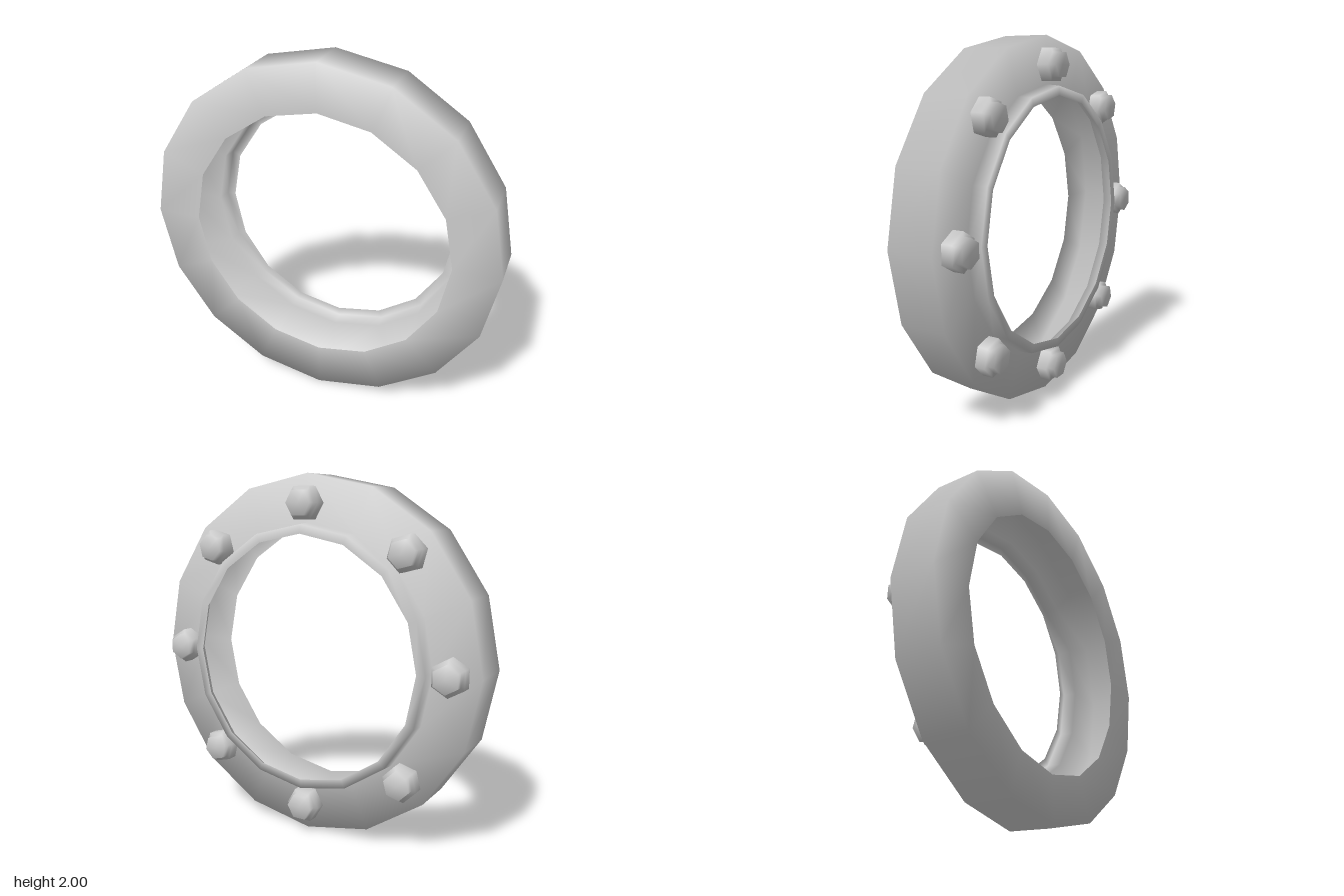
import * as THREE from 'three';

const points = (list) => list.map(([r, y]) => new THREE.Vector2(r, y));

export function createModel() {
  const model = new THREE.Group();
  model.name = 'boltedRing';
  const grey = new THREE.MeshStandardMaterial({ color: 0xcccccc, side: THREE.DoubleSide });
  grey.name = 'lightGrey';

  // Open shell: rear collar lip, collar wall, rear plate, outer wall, front face
  const shellGeometry = new THREE.LatheGeometry(points([
    [0.685, -0.16], [0.735, -0.16], [0.742, -0.08], [1, -0.08], [1, 0.18], [0.742, 0.18],
  ]), 16);
  shellGeometry.rotateX(Math.PI / 2);
  const shell = new THREE.Mesh(shellGeometry, grey);
  shell.name = 'ringShell';
  shell.position.y = 1;
  model.add(shell);

  // Stepped hexagonal bolts on the rear plate
  const boltGeometry = new THREE.LatheGeometry(points([
    [0.1, 0], [0.1, 0.06], [0.075, 0.06], [0.075, 0.1], [0, 0.1],
  ]), 6);
  boltGeometry.rotateX(-Math.PI / 2);
  const bolts = new THREE.Group();
  bolts.name = 'bolts';
  for (let i = 0; i < 8; i++) {
    const angle = (i * Math.PI) / 4;
    const bolt = new THREE.Mesh(boltGeometry, grey);
    bolt.name = 'bolt';
    bolt.position.set(0.845 * Math.cos(angle), 1 + 0.845 * Math.sin(angle), -0.08);
    bolt.rotation.z = angle;
    bolts.add(bolt);
  }
  model.add(bolts);
  return model;
}
